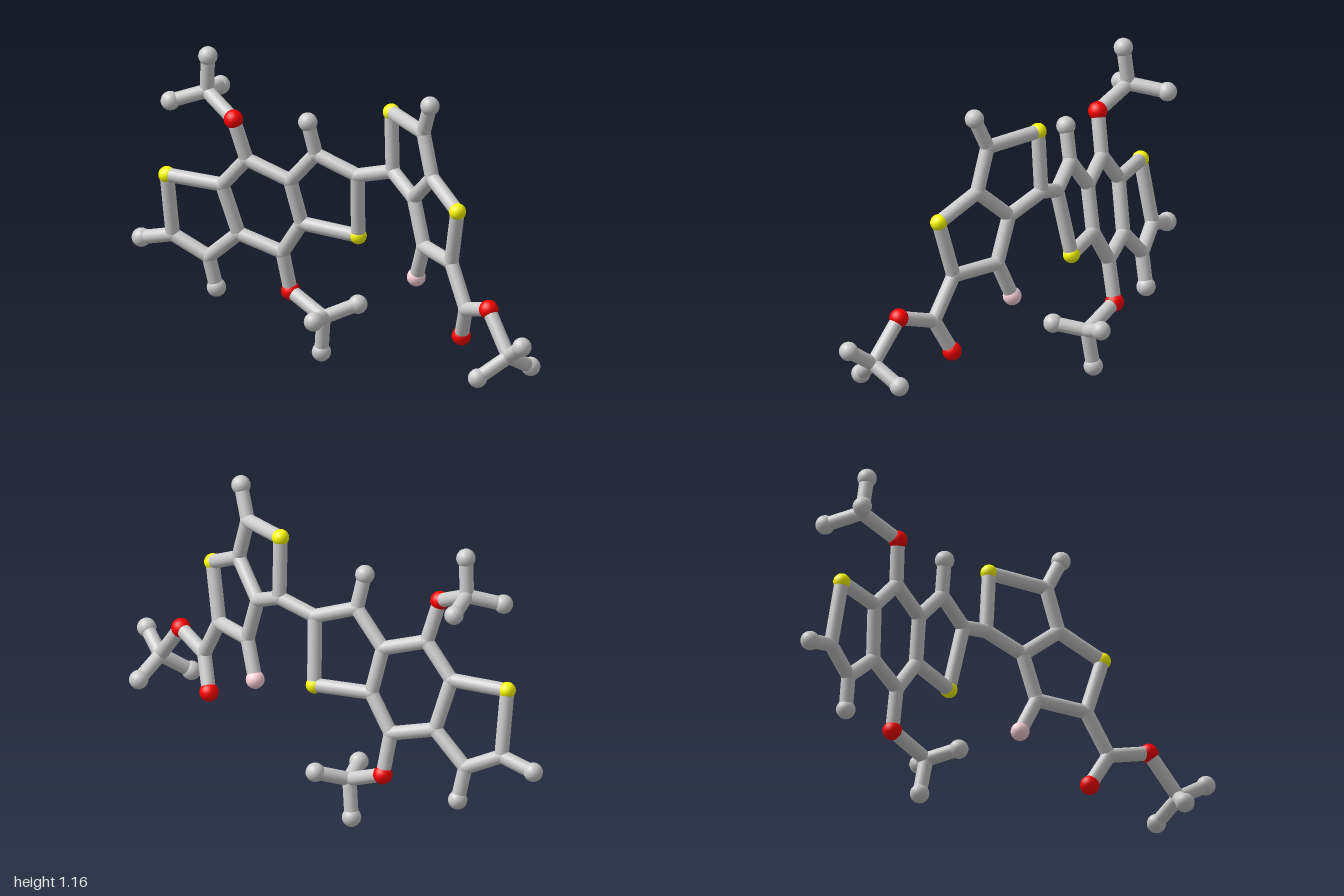
import * as THREE from 'three';

const STICK = 0.026;
const mat = (color) => new THREE.MeshStandardMaterial({ color });
const grey = mat(0xcccccc);
// atom kinds: radius and material
const KINDS = {
  carbon: { r: 0.0275, m: grey },
  hydrogen: { r: 0.035, m: grey },
  sulfur: { r: 0.031, m: mat(0xffff00) },
  oxygen: { r: 0.035, m: mat(0xff0000) },
  fluorine: { r: 0.034, m: mat(0xffd5dd) },
};

// the two flat ring systems lie in tilted planes z = f(x, y)
const leftZ = (x, y) => -0.2406 * x + 0.195 * y - 0.24;
const rightZ = (x, y) => 0.3217 * x + 0.0437 * y - 0.178;

const ball = new THREE.SphereGeometry(1, 24, 16);
const rod = new THREE.CylinderGeometry(STICK, STICK, 1, 20, 1, true);

function addAtom(group, kind, p) {
  const mesh = new THREE.Mesh(ball, KINDS[kind].m);
  mesh.name = kind + 'Ball';
  mesh.scale.setScalar(KINDS[kind].r);
  mesh.position.copy(p);
  group.add(mesh);
}

function addBond(group, a, b) {
  const d = b.clone().sub(a);
  const mesh = new THREE.Mesh(rod, grey);
  mesh.name = 'bondStick';
  mesh.scale.y = d.length();
  mesh.position.copy(a).addScaledVector(d, 0.5);
  mesh.quaternion.setFromUnitVectors(new THREE.Vector3(0, 1, 0), d.normalize());
  group.add(mesh);
}

// atoms: key -> [kind, x, y, optional z]; chains: strings of keys joined in order
function buildPart(name, atoms, chains, planeZ) {
  const group = new THREE.Group();
  group.name = name;
  const pos = {};
  for (const [key, [kind, x, y, z = planeZ(x, y)]] of Object.entries(atoms)) {
    pos[key] = new THREE.Vector3(x, y, z);
    addAtom(group, kind, pos[key]);
  }
  for (const chain of chains) {
    const keys = chain.split(' ');
    for (let i = 1; i < keys.length; i++) addBond(group, pos[keys[i - 1]], pos[keys[i]]);
  }
  return { group, pos };
}

export function createModel() {
  const model = new THREE.Group();
  model.name = 'stickMolecule';

  // three fused rings with two methoxy arms
  const left = buildPart('threeRingHalf', {
    s1: ['sulfur', -0.826, 0.623],
    a: ['carbon', -0.837, 0.385],
    b: ['carbon', -0.703, 0.32],
    c: ['carbon', -0.567, 0.435],
    d: ['carbon', -0.605, 0.622],
    e: ['carbon', -0.49, 0.742],
    f: ['carbon', -0.324, 0.687],
    g: ['carbon', -0.203, 0.812],
    h: ['carbon', -0.045, 0.755],
    s2: ['sulfur', -0.078, 0.51],
    i: ['carbon', -0.302, 0.521],
    j: ['carbon', -0.398, 0.39],
    hA: ['hydrogen', -0.968, 0.35],
    hB: ['hydrogen', -0.69, 0.2],
    hG: ['hydrogen', -0.217, 0.937],
    // upper methoxy
    o1: ['oxygen', -0.52, 0.896],
    m1: ['carbon', -0.675, 0.962, 0.032],
    m1a: ['hydrogen', -0.66, 1.1, 0.043],
    m1b: ['hydrogen', -0.767, 0.927, 0.126],
    m1c: ['hydrogen', -0.73, 0.94, -0.1],
    // lower methoxy
    o2: ['oxygen', -0.388, 0.238],
    m2: ['carbon', -0.222, 0.176, -0.094],
    m2a: ['hydrogen', -0.243, 0.038, -0.106],
    m2b: ['hydrogen', -0.152, 0.215, -0.2],
    m2c: ['hydrogen', -0.168, 0.198, 0.018],
  }, [
    's1 a b c d s1', 'd e f i j c', 'f g h s2 i', 'a hA', 'b hB', 'g hG',
    'e o1 m1 m1a', 'm1b m1 m1c', 'j o2 m2 m2a', 'm2b m2 m2c',
  ], leftZ);

  // two fused rings with an ester arm
  const right = buildPart('twoRingHalf', {
    a: ['carbon', 0.1, 0.797],
    s1: ['sulfur', 0.104, 1.024],
    b: ['carbon', 0.325, 1.013],
    c: ['carbon', 0.377, 0.855],
    s2: ['sulfur', 0.548, 0.778],
    d: ['carbon', 0.493, 0.567],
    e: ['carbon', 0.302, 0.572],
    f: ['carbon', 0.243, 0.738],
    hB: ['hydrogen', 0.377, 1.13],
    fl: ['fluorine', 0.243, 0.436],
    // ester group
    k: ['carbon', 0.585, 0.417],
    o1: ['oxygen', 0.527, 0.294, -0.011],
    o2: ['oxygen', 0.74, 0.462, 0.076],
    m: ['carbon', 0.864, 0.318, 0.105],
    ma: ['hydrogen', 0.964, 0.386, 0.143],
    mb: ['hydrogen', 0.8, 0.246, 0.2],
    mc: ['hydrogen', 0.866, 0.254, -0.01],
  }, [
    'a s1 b c f a', 'c s2 d e f', 'b hB', 'e fl', 'd k o1', 'k o2 m ma', 'mb m mc',
  ], rightZ);

  model.add(left.group, right.group);

  // bond joining both halves
  const link = new THREE.Group();
  link.name = 'linkBond';
  addBond(link, left.pos.h, right.pos.a);
  model.add(link);
  return model;
}
